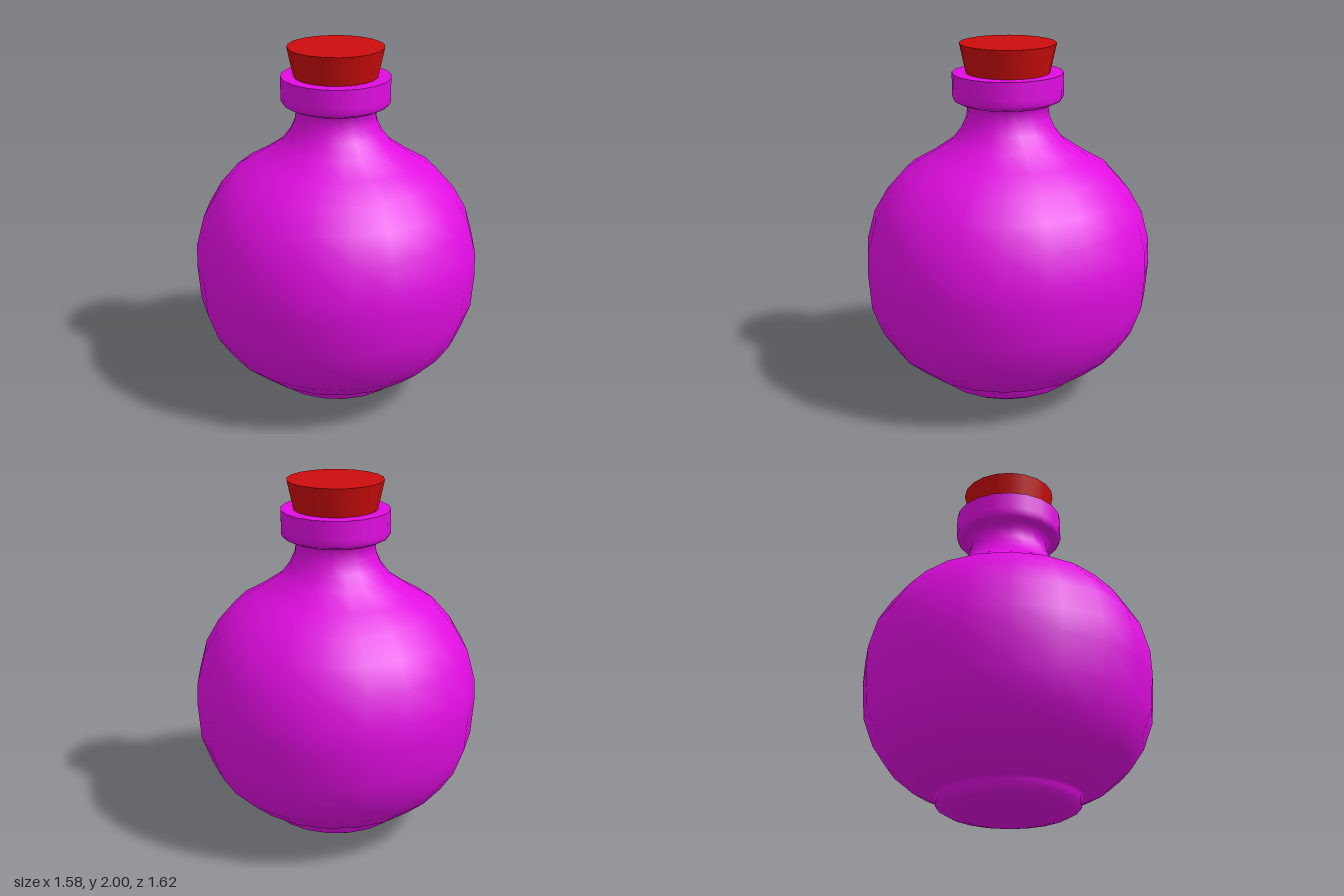
import * as THREE from 'three';

const SEGMENTS = 20;

// Turned part from [radius, height] pairs, listed bottom to top
function turned(name, profile, material) {
  const points = profile.map(([r, y]) => new THREE.Vector2(r, y));
  const mesh = new THREE.Mesh(new THREE.LatheGeometry(points, SEGMENTS), material);
  mesh.name = name;
  return mesh;
}

export function createModel() {
  const model = new THREE.Group();
  model.name = 'corkedFlask';
  const glass = new THREE.MeshStandardMaterial({ color: 0xe00de0 });
  const stopper = new THREE.MeshStandardMaterial({ color: 0xcc0c0c });

  const flask = new THREE.Group();
  flask.name = 'flask';
  flask.scale.z = 1.028; // slightly deeper than wide
  model.add(flask);

  // Foot, round belly, neck and the underside of the rim
  flask.add(turned('body', [
    [0, 0], [0.14, 0.003], [0.26, 0.018], [0.34, 0.04], [0.382, 0.065], [0.382, 0.1],
    [0.4, 0.115], [0.53, 0.18], [0.645, 0.28], [0.72, 0.395], [0.775, 0.55],
    [0.79, 0.75], [0.785, 0.88], [0.74, 1.05], [0.665, 1.18], [0.56, 1.3],
    [0.434, 1.374], [0.307, 1.462], [0.254, 1.533], [0.225, 1.597], [0.217, 1.665],
    [0.255, 1.675], [0.29, 1.692], [0.3, 1.71], [0.3, 1.74],
  ], glass));

  // Rim wall, flat rim top and mouth, kept apart so their edges stay sharp
  flask.add(turned('rimWall', [[0.3, 1.74], [0.3, 1.84]], glass));
  flask.add(turned('rimTop', [[0.3, 1.84], [0.2, 1.84]], glass));
  flask.add(turned('mouth', [[0.2, 1.84], [0.19, 1.66], [0, 1.66]], glass));

  // Tapered cork, pushed into the mouth
  const cork = new THREE.Mesh(new THREE.CylinderGeometry(0.265, 0.196, 0.32, SEGMENTS), stopper);
  cork.name = 'cork';
  cork.position.y = 1.84;
  model.add(cork);

  return model;
}
